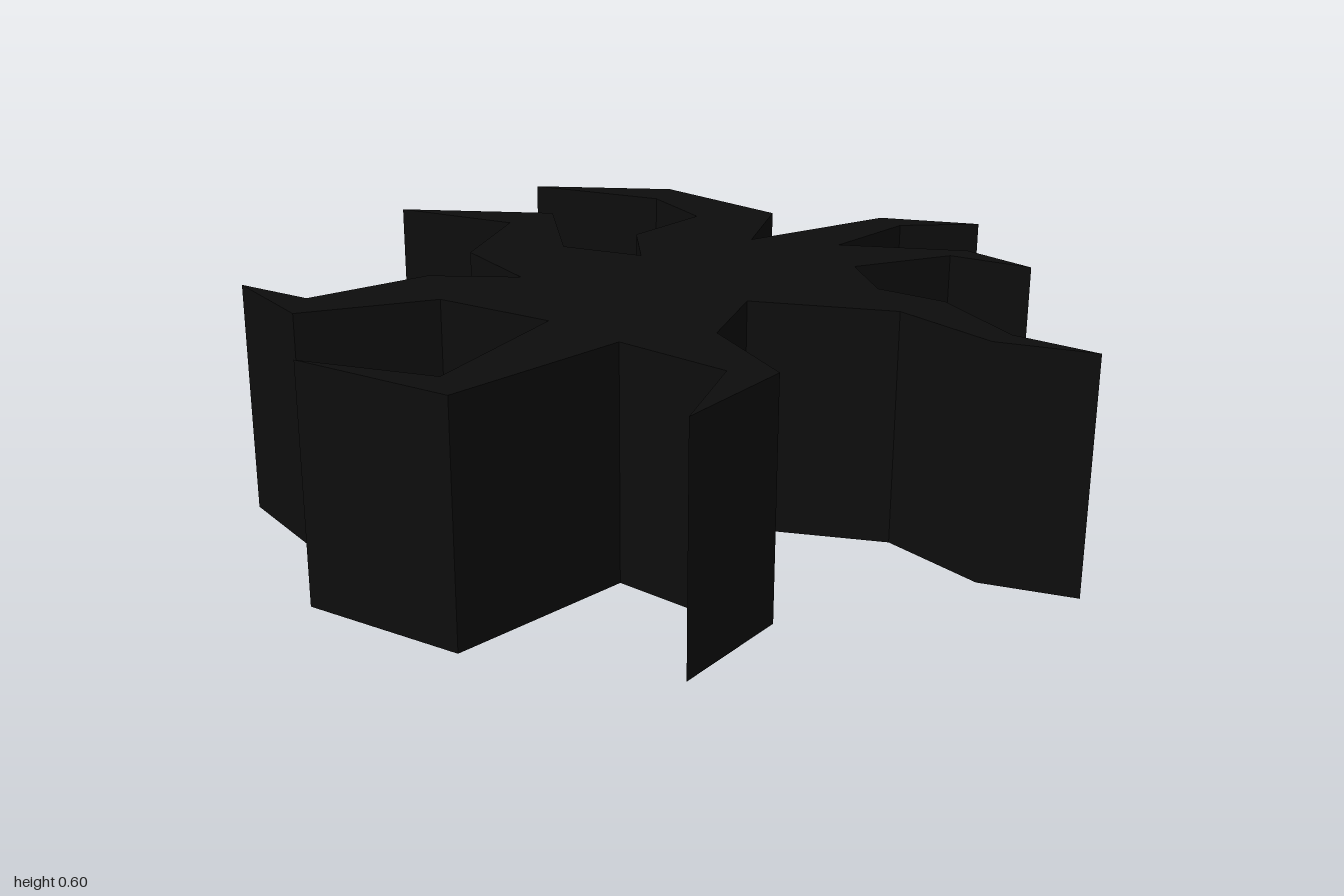
import * as THREE from 'three';

const HEIGHT = 0.6;

// Outline seen from above as [x, z], one row per hooked arm
const arms = [
  [[0.02, -0.19], [0.04, -0.4], [0.24, -0.57], [0.16, -0.79], [-0.17, -1], [0.22, -0.9], [0.46, -0.57]],
  [[0.34, -0.3], [0.75, -0.47], [1, -0.36], [0.78, -0.38]],
  [[0.56, -0.21], [0.88, -0.1], [0.99, 0.08], [0.82, -0.06], [0.545, 0]],
  [[0.55, 0.2], [0.68, 0.33], [0.75, 0.6], [0.9, 0.76], [0.69, 0.64], [0.55, 0.39]],
  [[0.21, 0.25], [0.09, 0.48], [0.17, 0.77], [-0.07, 1], [0.06, 0.74]],
  [[-0.14, 0.51], [-0.54, 0.8], [-0.86, 0.52], [-0.55, 0.68]],
  [[-0.28, 0.33], [-0.52, 0.12], [-0.87, 0.18], [-1, -0.08], [-0.84, 0.06], [-0.54, -0.09]],
  [[-0.31, -0.04], [-0.42, -0.29], [-0.29, -0.58], [-0.58, -0.78], [-0.16, -0.67], [-0.17, -0.31]],
];

export function createModel() {
  const group = new THREE.Group();
  group.name = 'hookedStar';

  // Flat outline raised straight up into a solid prism
  const shape = new THREE.Shape(arms.flat().map(([x, z]) => new THREE.Vector2(x, -z)));
  const geometry = new THREE.ExtrudeGeometry(shape, { depth: HEIGHT, bevelEnabled: false });
  geometry.rotateX(-Math.PI / 2);

  const body = new THREE.Mesh(
    geometry,
    new THREE.MeshStandardMaterial({ color: 0x0d0d0d })
  );
  body.name = 'starBody';
  group.add(body);
  return group;
}
